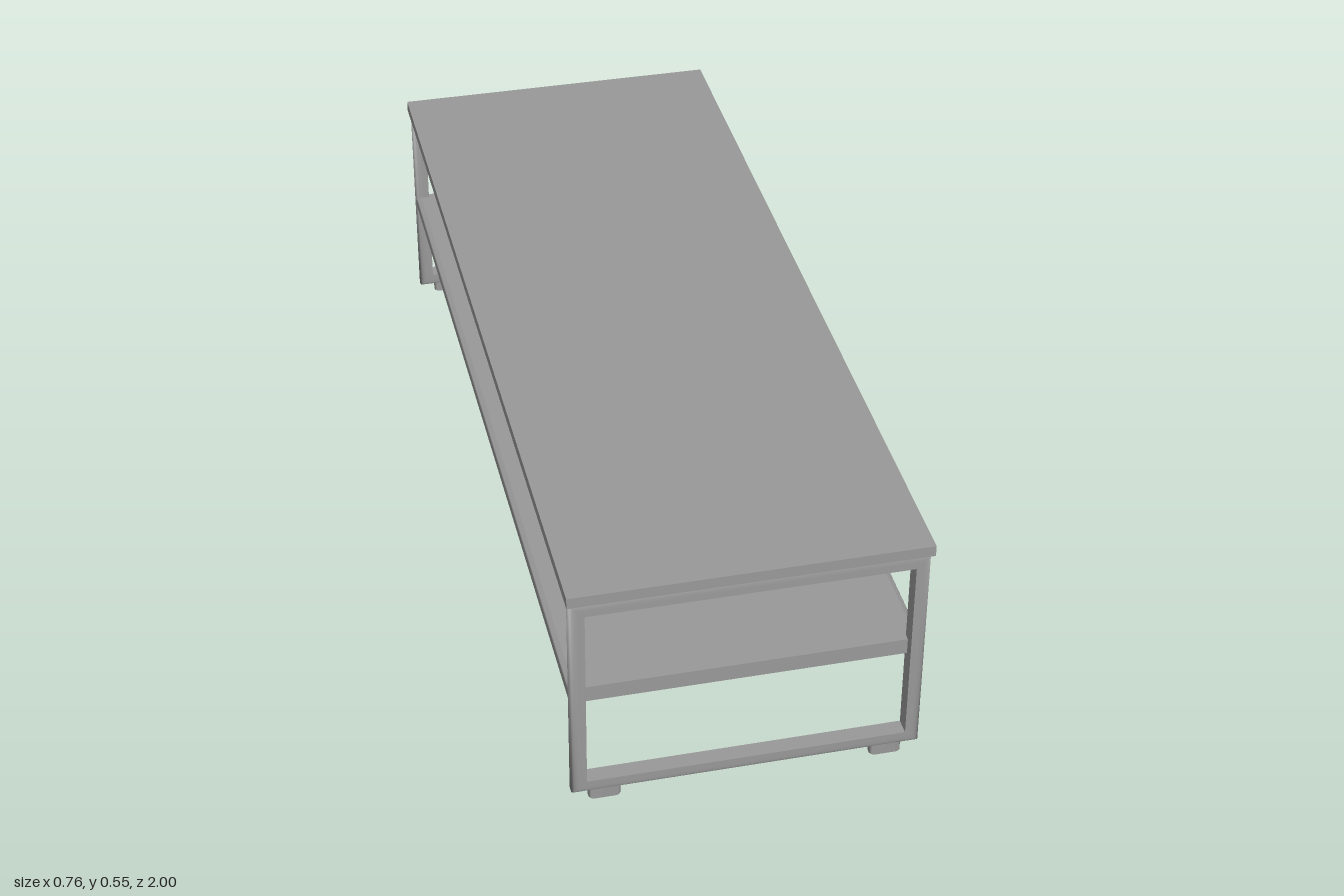
import * as THREE from 'three';
import { toCreasedNormals } from 'three/addons/utils/BufferGeometryUtils.js';

const material = new THREE.MeshStandardMaterial({ color: 0x9a9a9a });

function addMesh(parent, name, geometry, x = 0, y = 0, z = 0) {
  const mesh = new THREE.Mesh(geometry, material);
  mesh.name = name;
  mesh.position.set(x, y, z);
  parent.add(mesh);
  return mesh;
}

// Rounded rectangle centred on the origin, extruded and centred along z.
function roundedBar(width, height, radius, depth) {
  const w = width / 2 - radius, h = height / 2 - radius;
  const shape = new THREE.Shape();
  shape.absarc(w, h, radius, 0, Math.PI / 2);
  shape.absarc(-w, h, radius, Math.PI / 2, Math.PI);
  shape.absarc(-w, -h, radius, Math.PI, Math.PI * 1.5);
  shape.absarc(w, -h, radius, Math.PI * 1.5, Math.PI * 2);
  const geometry = new THREE.ExtrudeGeometry(shape, { depth, bevelEnabled: false, curveSegments: 6 });
  geometry.translate(0, 0, -depth / 2);
  return toCreasedNormals(geometry, 0.7);
}

// Sweeps an open profile of [outward offset, z] around a rectangle with mitred corners.
function mitredSweep(halfWidth, halfHeight, profile) {
  const positions = [], indices = [], n = profile.length;
  for (const [sx, sy] of [[1, 1], [-1, 1], [-1, -1], [1, -1]]) {
    for (const [o, z] of profile) positions.push(sx * (halfWidth + o), sy * (halfHeight + o), z);
  }
  for (let c = 0; c < 4; c++) {
    for (let i = 0; i < n - 1; i++) {
      const a = c * n + i, e = ((c + 1) % 4) * n + i;
      indices.push(a, a + 1, e, a + 1, e + 1, e);
    }
  }
  const geometry = new THREE.BufferGeometry();
  geometry.setAttribute('position', new THREE.Float32BufferAttribute(positions, 3));
  geometry.setIndex(indices);
  geometry.computeVertexNormals();
  return geometry;
}

export function createModel() {
  const table = new THREE.Group();
  table.name = 'coffeeTable';

  // Table top and lower shelf with rounded long edges
  addMesh(table, 'tableTop', new THREE.BoxGeometry(0.756, 0.025, 2), 0, 0.5375, 0);
  addMesh(table, 'shelf', roundedBar(0.745, 0.037, 0.014, 1.945), 0, 0.272, 0);

  // Frame tube: softly rounded outside, flat inside
  const thickness = 0.032, halfDepth = 0.0185, steps = 14;
  const outside = [];
  for (let i = 0; i <= steps; i++) {
    const a = Math.PI / 2 - (i / steps) * Math.PI, s = Math.sin(a);
    outside.push([
      thickness * (Math.sqrt(Math.abs(Math.cos(a))) - 1),
      halfDepth * Math.sign(s) * Math.sqrt(Math.abs(s)),
    ]);
  }
  const inside = [outside[steps], outside[0]];
  const outerGeometry = mitredSweep(0.373, 0.252, outside);
  const innerGeometry = toCreasedNormals(mitredSweep(0.373, 0.252, inside), 0.7);

  // End frames, each on two feet
  const footGeometry = roundedBar(0.068, 0.03, 0.012, 0.03).rotateX(Math.PI / 2);
  for (const [end, z] of [['front', 0.977], ['back', -0.977]]) {
    const frame = new THREE.Group();
    frame.name = end + 'Frame';
    frame.position.set(0, 0.274, z);
    addMesh(frame, 'frameOutside', outerGeometry);
    addMesh(frame, 'frameInside', innerGeometry);
    table.add(frame);
    for (const [side, x] of [['Left', 0.302], ['Right', -0.302]]) {
      addMesh(table, end + side + 'Foot', footGeometry, x, 0.015, z);
    }
  }
  return table;
}
